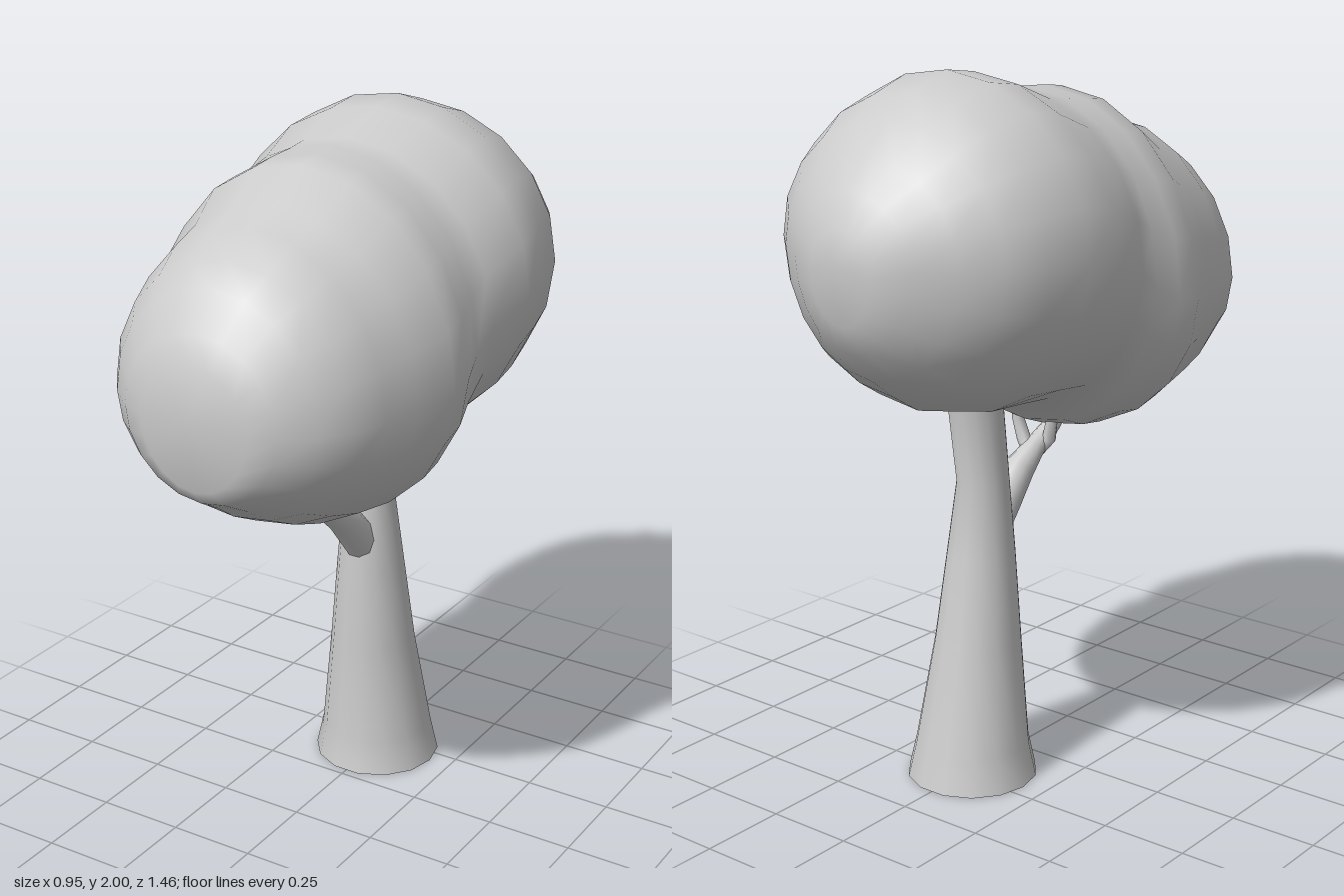
import * as THREE from 'three';
import { mergeVertices } from 'three/addons/utils/BufferGeometryUtils.js';

const material = new THREE.MeshStandardMaterial({ color: 0xcccccc, side: THREE.DoubleSide });

// Skin a list of closed rings (arrays of Vector3) with smooth normals
function loft(rings) {
  const n = rings[0].length, index = [];
  for (let i = 0; i < rings.length - 1; i++) {
    for (let j = 0; j < n; j++) {
      const k = (j + 1) % n;
      const a = i * n + j, b = (i + 1) * n + j, c = (i + 1) * n + k, d = i * n + k;
      index.push(a, b, c, a, c, d);
    }
  }
  const geometry = new THREE.BufferGeometry().setFromPoints(rings.flat());
  geometry.setIndex(index);
  const merged = mergeVertices(geometry, 1e-5);
  merged.computeVertexNormals();
  return merged;
}

function ring(n, pointAt) {
  return Array.from({ length: n }, (_, j) => pointAt((j / n) * Math.PI * 2));
}

// Tapered limb through stations [x, y, z, radius]
function limb(stations, sides) {
  const points = stations.map(([x, y, z]) => new THREE.Vector3(x, y, z));
  return loft(stations.map((s, i) => {
    const t = points[Math.min(i + 1, points.length - 1)].clone()
      .sub(points[Math.max(i - 1, 0)]).normalize();
    const u = new THREE.Vector3(1, 0, 0).addScaledVector(t, -t.x).normalize();
    const v = u.clone().cross(t);
    return ring(sides, a => points[i].clone()
      .addScaledVector(u, Math.cos(a) * s[3]).addScaledVector(v, Math.sin(a) * s[3]));
  }));
}

export function createModel() {
  const group = new THREE.Group();
  const add = (name, geometry) => {
    const mesh = new THREE.Mesh(geometry, material);
    mesh.name = name;
    group.add(mesh);
  };

  // Trunk: level rings [y, z centre, radius], open at the bottom
  const trunk = [
    [0, -0.205, 0.185], [0.1, -0.203, 0.163], [0.4, -0.175, 0.124],
    [0.65, -0.16, 0.098], [0.86, -0.15, 0.075], [1.1, -0.183, 0.078], [1.25, -0.2, 0.07],
  ];
  add('trunk', loft(trunk.map(([y, z, r]) =>
    ring(14, a => new THREE.Vector3(Math.cos(a) * r, y, z + Math.sin(a) * r)))));

  // Side branch with two twigs
  add('branch', limb([
    [0, 0.7, -0.13, 0.055], [0, 0.78, -0.06, 0.053], [0, 0.85, 0.01, 0.045],
    [0, 0.895, 0.08, 0.032], [0, 0.945, 0.165, 0.025], [0, 1.03, 0.27, 0.015],
  ], 10));
  for (const [side, z] of [[1, 0.06], [-1, 0.1]]) {
    add(side > 0 ? 'leftTwig' : 'rightTwig', limb([
      [0, 0.88, z, 0.018], [side * 0.03, 0.92, z + 0.012, 0.02],
      [side * 0.045, 0.98, z + 0.005, 0.017], [side * 0.05, 1.06, z, 0.01],
    ], 8));
  }

  // Foliage, front to back: [z, top, widest height, bottom, half width]
  const crown = [
    [0.73, 1.38, 1.38, 1.38, 0], [0.7, 1.52, 1.36, 1.18, 0.16],
    [0.67, 1.59, 1.36, 1.14, 0.23], [0.6, 1.69, 1.36, 1.1, 0.31],
    [0.53, 1.74, 1.36, 1.05, 0.365], [0.43, 1.8, 1.36, 1.0, 0.4],
    [0.32, 1.83, 1.37, 0.96, 0.425], [0.2, 1.91, 1.37, 0.95, 0.465],
    [0.12, 1.92, 1.39, 0.96, 0.46], [0.04, 1.925, 1.43, 0.99, 0.44],
    [-0.03, 1.93, 1.48, 1.07, 0.445], [-0.18, 1.985, 1.53, 1.085, 0.475],
    [-0.29, 2.0, 1.55, 1.09, 0.46], [-0.42, 1.96, 1.56, 1.12, 0.43],
    [-0.52, 1.9, 1.56, 1.18, 0.375], [-0.6, 1.82, 1.56, 1.24, 0.29],
    [-0.67, 1.74, 1.56, 1.32, 0.19], [-0.71, 1.65, 1.54, 1.4, 0.1],
    [-0.73, 1.56, 1.56, 1.56, 0],
  ];
  add('foliage', loft(crown.map(([z, top, mid, bottom, w]) => ring(20, a => {
    const s = Math.sin(a);
    return new THREE.Vector3(Math.cos(a) * w, mid + s * (s > 0 ? top - mid : mid - bottom), z);
  }))));

  return group;
}
